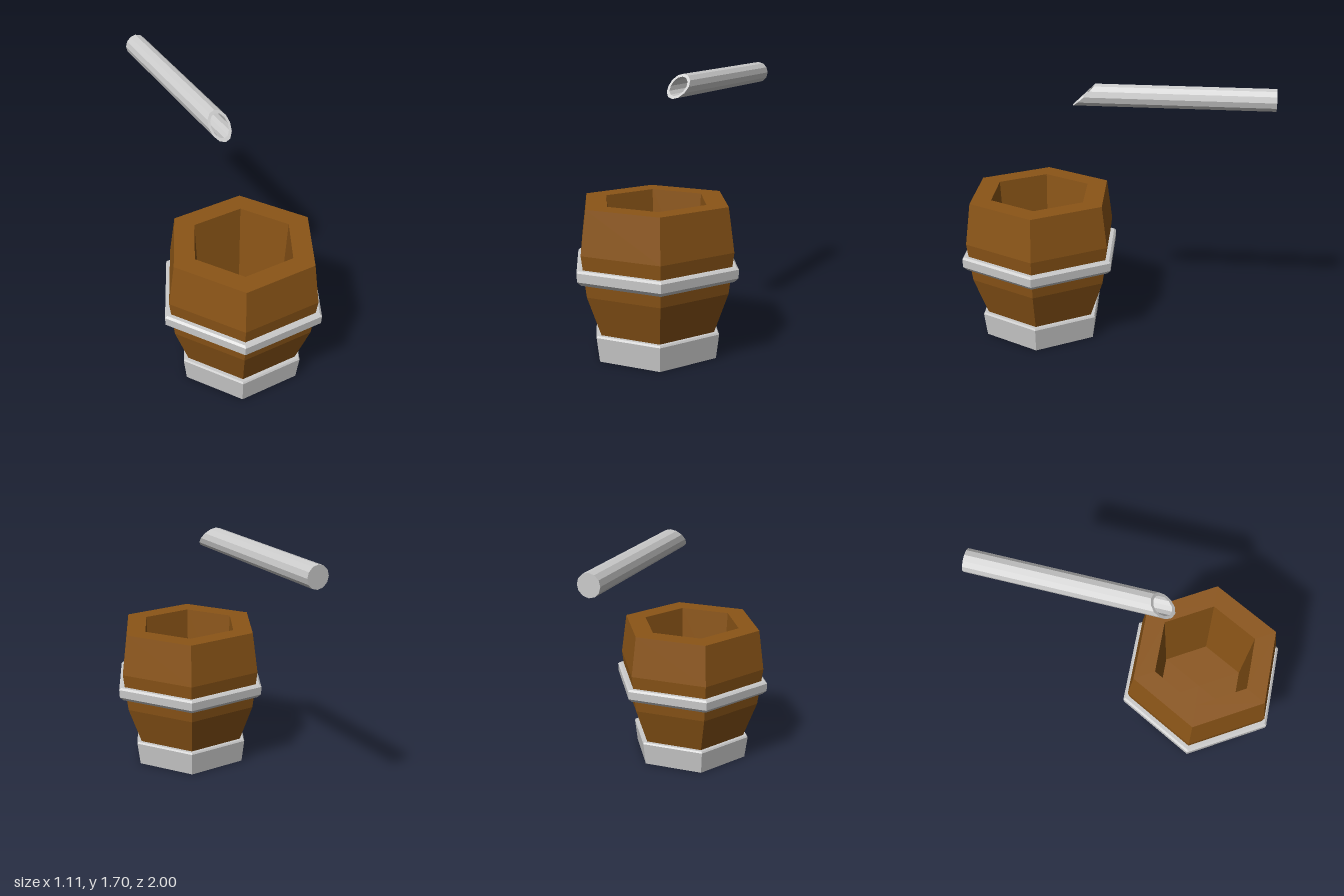
import * as THREE from 'three';

const wood = new THREE.MeshStandardMaterial({ color: 0x8b5517, flatShading: true });
const metal = new THREE.MeshStandardMaterial({ color: 0xcccccc, flatShading: true });

// Faceted solid of revolution; the profile runs up the outside and down the inside
function turned(name, profile, sides, material, start = 0) {
  const points = profile.map(([r, y]) => new THREE.Vector2(r, y));
  const mesh = new THREE.Mesh(new THREE.LatheGeometry(points, sides, start), material);
  mesh.name = name;
  return mesh;
}

function createBarrel() {
  const barrel = new THREE.Group();
  barrel.name = 'barrel';
  const turn = THREE.MathUtils.degToRad(33.1);

  // Bulging hexagonal body with a tapered hollow
  barrel.add(turned('barrelBody', [
    [0, 0.006], [0.37, 0.006], [0.395, 0.165], [0.49, 0.42], [0.526, 0.68],
    [0.488, 0.955], [0.342, 0.955], [0.3, 0.3], [0, 0.3],
  ], 6, wood, turn));

  // Metal foot
  barrel.add(turned('baseBand', [
    [0.375, 0], [0.409, 0], [0.43, 0.155], [0.422, 0.166], [0.38, 0.166], [0.375, 0],
  ], 6, metal, turn));

  // Metal hoop around the belly
  barrel.add(turned('hoop', [
    [0.49, 0.5], [0.527, 0.5], [0.554, 0.525], [0.557, 0.58], [0.542, 0.592],
    [0.5, 0.592], [0.49, 0.5],
  ], 6, metal, turn));

  barrel.position.z = 0.5;
  return barrel;
}

// Spout pipe with a slanted open mouth, closed at the back
function createPipe() {
  const r = 0.0725, inner = 0.056;
  const pipe = turned('spoutPipe', [
    [0, -1], [r, -1], [r, 0.2], [inner, 0.2], [inner, -0.9], [0, -0.9],
  ], 12, metal);
  pipe.geometry.rotateX(Math.PI / 2);
  const p = pipe.geometry.attributes.position;
  for (let i = 0; i < p.count; i++) {
    if (p.getZ(i) < 0) continue;
    const t = p.getY(i) / r;
    p.setZ(i, 0.195 - 0.075 * t + 0.008 * t * t);
  }
  pipe.geometry.computeVertexNormals();
  pipe.position.set(-0.004, 1.6225, 0);
  return pipe;
}

export function createModel() {
  const model = new THREE.Group();
  model.name = 'barrelAndSpout';
  model.add(createBarrel(), createPipe());
  return model;
}
